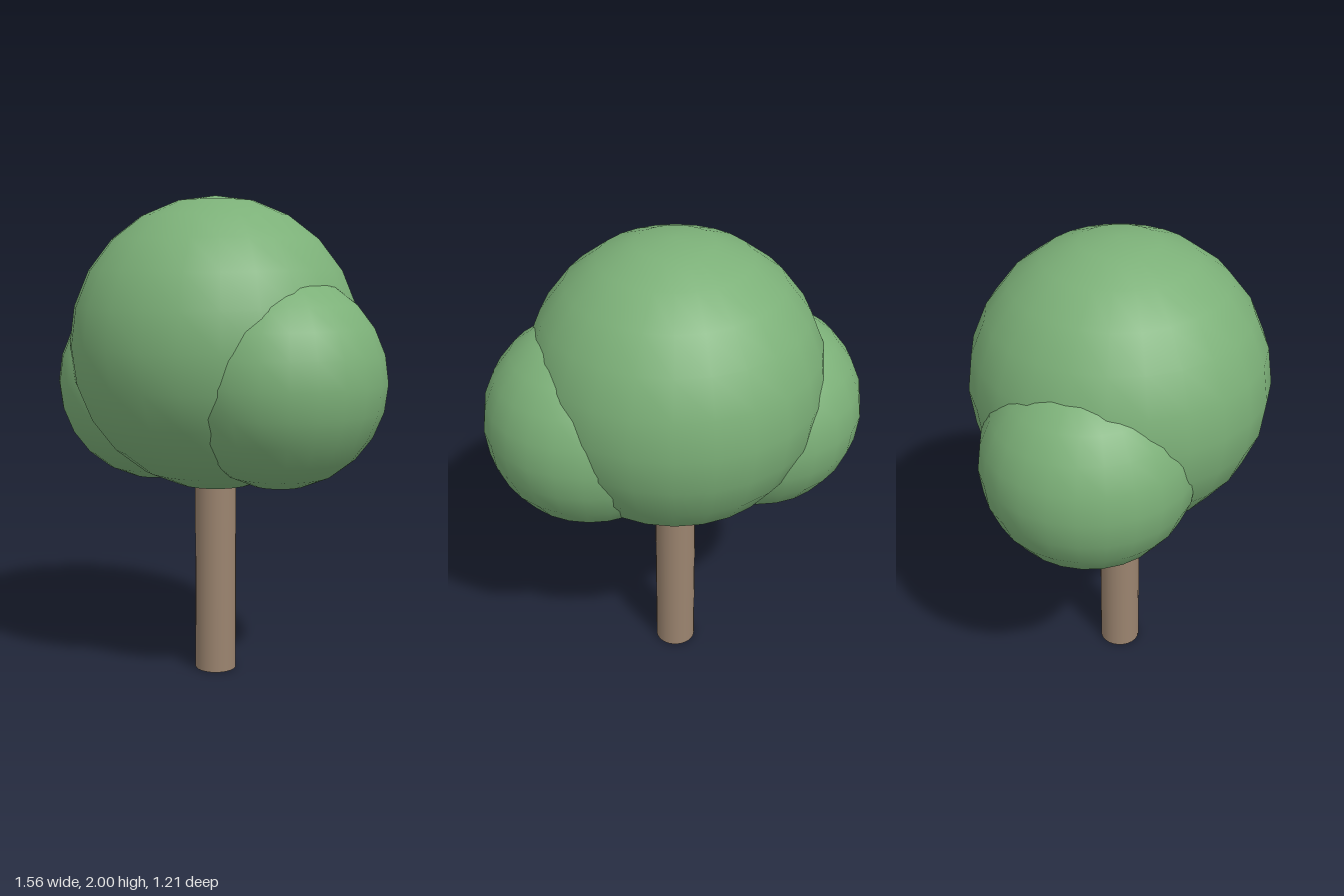
import * as THREE from 'three';

export function createModel() {
  const tree = new THREE.Group();
  tree.name = 'tree';

  const leafGreen = new THREE.MeshStandardMaterial({ color: 0x7cb078 });
  leafGreen.name = 'leaf green';
  const barkBrown = new THREE.MeshStandardMaterial({ color: 0x9b846f });
  barkBrown.name = 'bark brown';

  // Straight round trunk, running up into the crown
  const trunkHeight = 1.0;
  const trunk = new THREE.Mesh(
    new THREE.CylinderGeometry(0.087, 0.087, trunkHeight, 24), barkBrown);
  trunk.name = 'trunk';
  trunk.position.y = trunkHeight / 2;
  tree.add(trunk);

  // Overlapping balls of foliage: name, radius, x, y
  const foliage = [
    ['crown', 0.605, 0, 1.395],
    ['leftFoliage', 0.43, 0.35, 1.262],
    ['rightFoliage', 0.43, -0.35, 1.22],
  ];
  for (const [name, radius, x, y] of foliage) {
    const ball = new THREE.Mesh(new THREE.SphereGeometry(radius, 24, 12), leafGreen);
    ball.name = name;
    ball.position.set(x, y, 0);
    tree.add(ball);
  }

  return tree;
}
